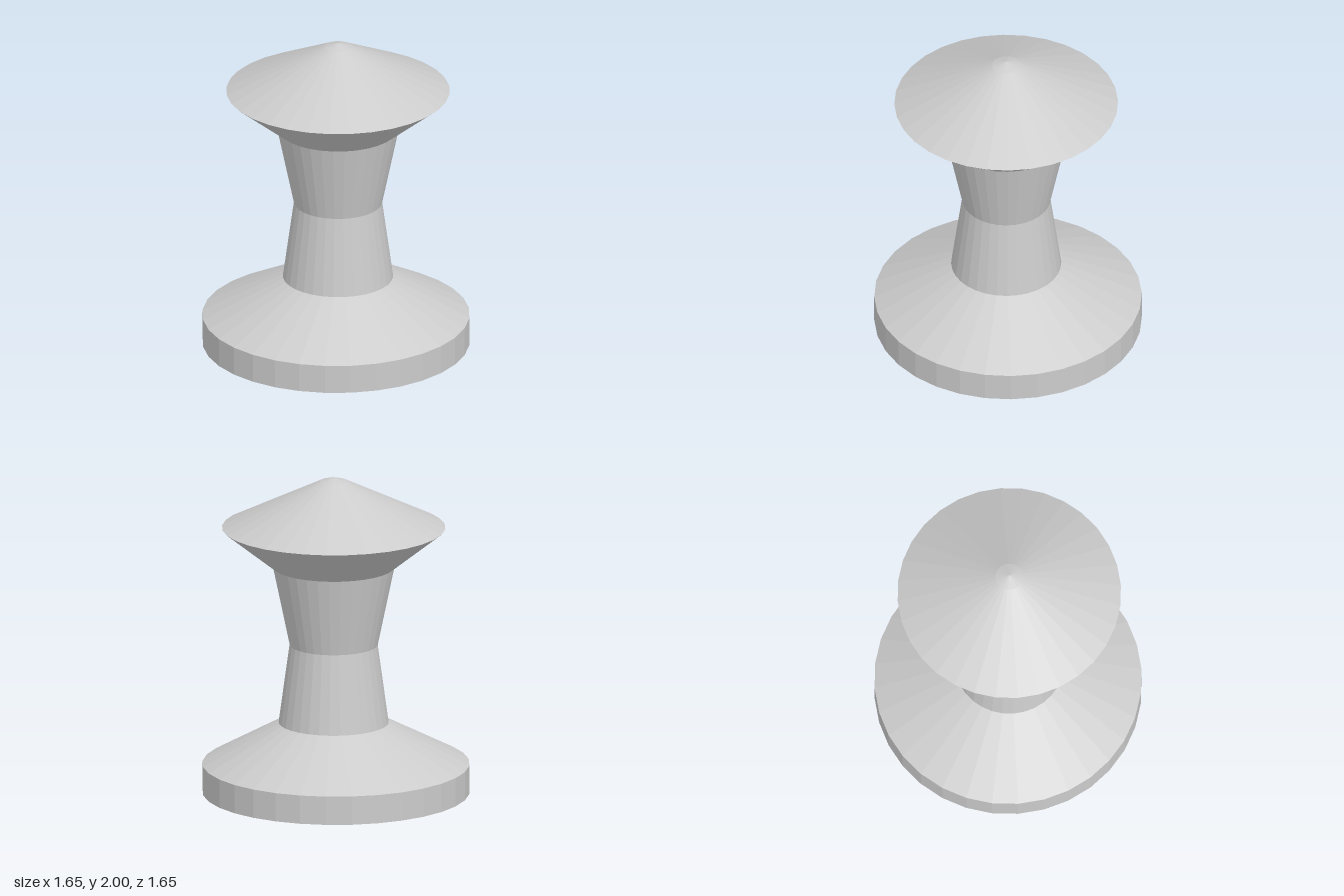
import * as THREE from 'three';

const SIDES = 32;
const OFFSET = 0.016; // everything above the base disc sits slightly off centre

export function createModel() {
  const group = new THREE.Group();
  const material = new THREE.MeshStandardMaterial({ color: 0xcccccc, flatShading: true });

  // Turned section from a [radius, height] profile, listed bottom to top
  const addTurned = (name, profile) => {
    const points = profile.map(([r, y]) => new THREE.Vector2(r, y));
    const geometry = new THREE.LatheGeometry(points, SIDES);
    const pos = geometry.attributes.position;
    for (let i = 0; i < pos.count; i++) {
      if (pos.getY(i) > 0.2) pos.setX(i, pos.getX(i) + OFFSET);
    }
    geometry.computeVertexNormals();
    const mesh = new THREE.Mesh(geometry, material);
    mesh.name = name;
    group.add(mesh);
  };

  // Base disc, closed underneath
  addTurned('baseDisc', [[0, 0], [0.825, 0], [0.825, 0.18]]);
  // Sloping shoulder from the disc up to the stem
  addTurned('baseShoulder', [[0.825, 0.18], [0.34, 0.44]]);
  // Waisted stem
  addTurned('stem', [[0.34, 0.44], [0.272, 0.935], [0.375, 1.43]]);
  // Flared head with a blunted conical top
  addTurned('head', [[0.375, 1.43], [0.69, 1.68], [0.085, 1.975], [0, 2]]);

  return group;
}
